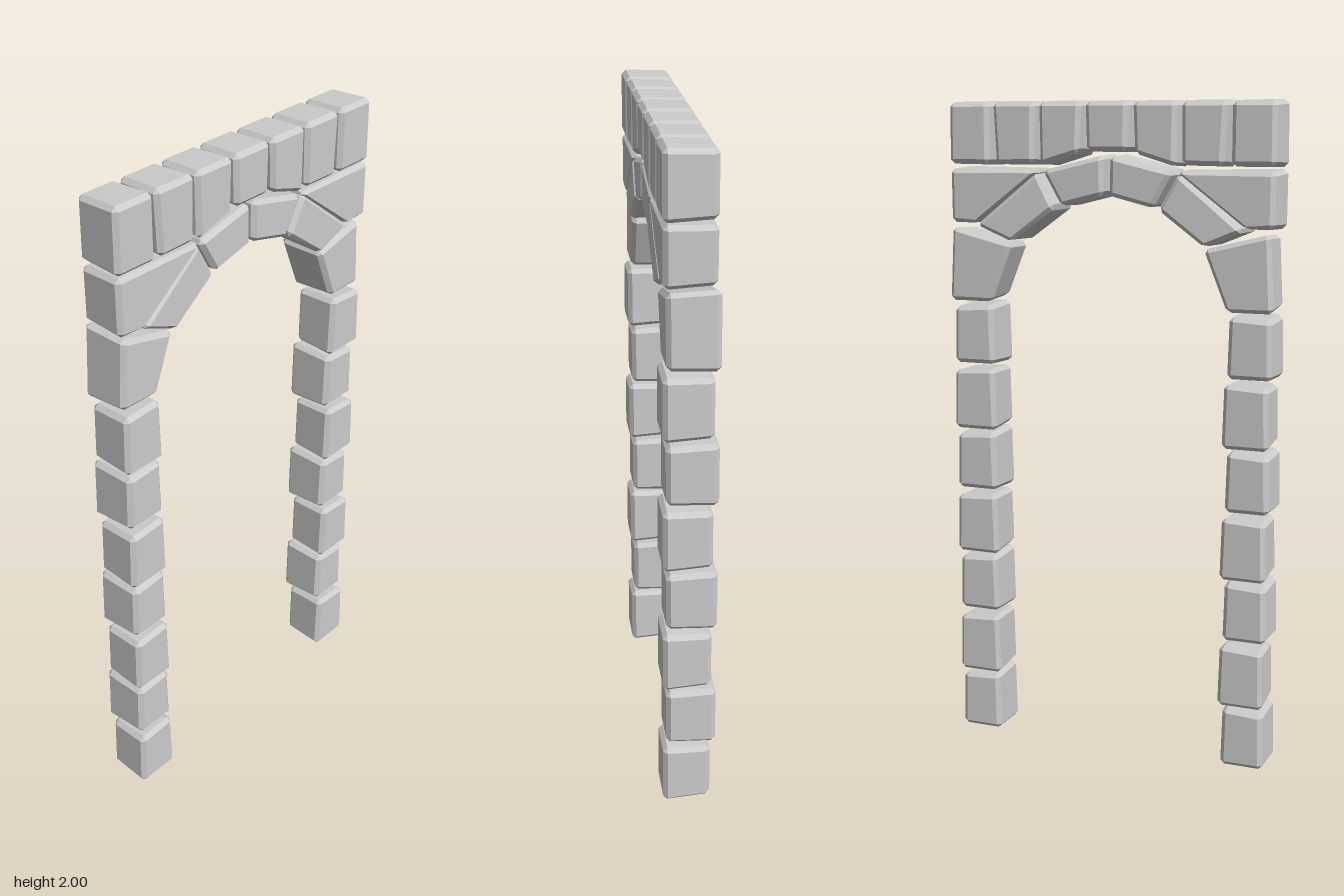
import * as THREE from 'three';
import { ConvexGeometry } from 'three/addons/geometries/ConvexGeometry.js';

const BEVEL = 0.013;
const material = new THREE.MeshStandardMaterial({ color: 0xcccccc, flatShading: true });

// Six-sided block with chamfered edges: each corner becomes one point on each of its three faces
function chamferedBlock(front, back) {
  const points = [];
  const step = (from, to) => to.clone().sub(from).setLength(BEVEL);
  [[front, back], [back, front]].forEach(([face, other]) => {
    face.forEach((corner, i) => {
      const a = step(corner, face[(i + 1) % 4]);
      const b = step(corner, face[(i + 3) % 4]);
      const c = step(corner, other[i]);
      points.push(corner.clone().add(a).add(b), corner.clone().add(a).add(c), corner.clone().add(b).add(c));
    });
  });
  return new ConvexGeometry(points);
}

// Stone from a front outline; one end (front or back) is slightly smaller
function makeStone(name, outline, zFront, zBack, { side = 1, narrowFront = false, backLean = 0 } = {}) {
  const cx = outline.reduce((s, p) => s + p[0], 0) / 4;
  const cy = outline.reduce((s, p) => s + p[1], 0) / 4;
  const ring = (z, scale, lean) => outline.map(([x, y]) => new THREE.Vector3(
    side * (cx + (x - cx) * scale), cy + (y - cy) * scale, z + lean * (y - cy)));
  const front = ring(zFront, narrowFront ? 0.94 : 1, 0);
  const back = ring(zBack, narrowFront ? 1 : 0.94, backLean);
  const mesh = new THREE.Mesh(chamferedBlock(front, back), material);
  mesh.name = name;
  return mesh;
}

export function createModel() {
  const arch = new THREE.Group();
  arch.name = 'stoneArchway';

  for (const side of [1, -1]) {
    const half = new THREE.Group();
    half.name = side > 0 ? 'leftHalf' : 'rightHalf';

    // Pier: seven blocks, alternately turned front to back
    for (let i = 0; i < 7; i++) {
      const turned = i % 2 === 1;
      const y0 = i * 0.2 + (i ? 0.004 : 0), y1 = i * 0.2 + 0.197;
      const shift = turned ? -0.005 : 0;
      const outline = [
        [0.366 + shift, y0], [0.508 + shift, y0],
        [0.503 + shift, y1 - 0.008], [0.371 + shift, y1],
      ];
      half.add(makeStone('pierStone' + (i + 1), outline,
        turned ? 0.071 : 0.081, turned ? -0.076 : -0.061, { side, narrowFront: turned }));
    }

    // Arch ring and the corner block above it
    half.add(makeStone('springer',
      [[0.37, 1.404], [0.508, 1.404], [0.495, 1.63], [0.298, 1.582]],
      0.071, -0.076, { side, narrowFront: true }));
    half.add(makeStone('haunchStone',
      [[0.302, 1.582], [0.425, 1.632], [0.215, 1.802], [0.153, 1.69]],
      0.08, -0.071, { side, backLean: 0.06 }));
    half.add(makeStone('crownStone',
      [[0.145, 1.69], [0.208, 1.8], [0.006, 1.848], [0.004, 1.725]],
      0.078, -0.066, { side }));
    half.add(makeStone('cornerStone',
      [[0.42, 1.636], [0.508, 1.636], [0.508, 1.806], [0.2, 1.802]],
      0.08, -0.064, { side }));

    // Top course
    half.add(makeStone('topOuterStone',
      [[0.37, 1.81], [0.508, 1.81], [0.506, 2], [0.37, 2]], 0.081, -0.064, { side }));
    half.add(makeStone('topMiddleStone',
      [[0.225, 1.812], [0.355, 1.81], [0.364, 2], [0.222, 2]], 0.08, -0.064, { side }));
    half.add(makeStone('topInnerStone',
      [[0.083, 1.845], [0.213, 1.806], [0.216, 2], [0.076, 2]], 0.08, -0.064, { side }));
    arch.add(half);
  }

  // Middle block over the crown
  arch.add(makeStone('topCentreStone',
    [[-0.066, 1.85], [0.066, 1.85], [0.07, 2], [-0.07, 2]], 0.08, -0.064));
  return arch;
}
